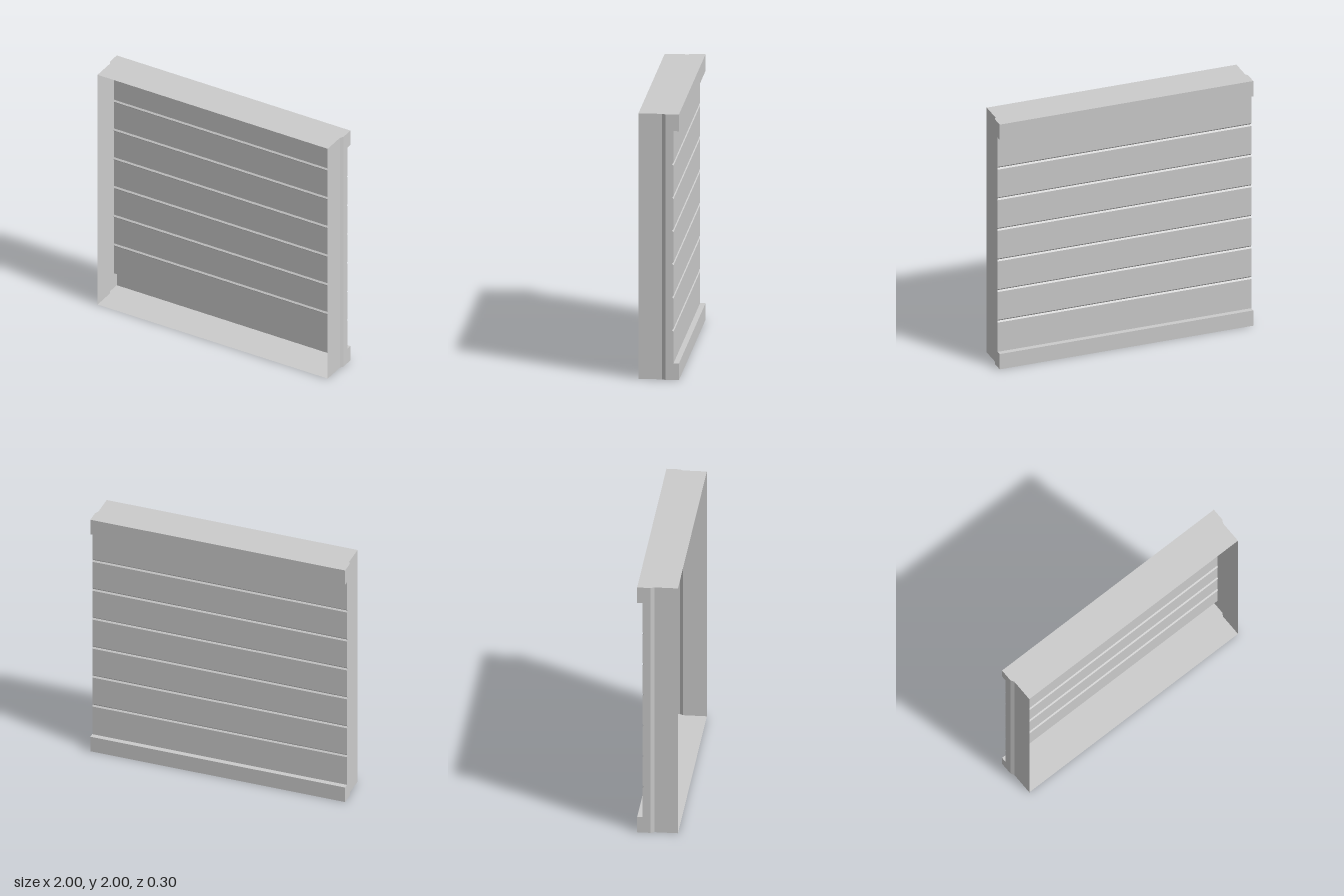
import * as THREE from 'three';

const HALF = 1, INSET = 0.985;            // half width at the back and at the front
const FRONT = 0.15, BACK = -0.15;         // depth range
const PANEL = -0.11;                      // plane of the planks
const BEND_FRONT = -0.025, BEND_BACK = -0.05; // slanted bend in the side walls
const RAIL = 0.125, PLANK = 0.25, TOP = 2;

// Back profile as [z, y], bottom to top: rail, planks with V grooves, rail
function backProfile() {
  const pts = [[BACK, 0], [BACK, RAIL], [PANEL, RAIL]];
  for (let y = RAIL + PLANK; y < TOP - RAIL - 0.01; y += PLANK) {
    pts.push([PANEL, y - 0.0115], [PANEL + 0.01, y], [PANEL, y + 0.0115]);
  }
  pts.push([PANEL, TOP - RAIL], [BACK, TOP - RAIL], [BACK, TOP]);
  return pts;
}

// Sheet made of quads between two matching lines of points
function ribbon(a, b) {
  const pos = [], index = [];
  a.forEach((p, i) => {
    pos.push(...p, ...b[i]);
    if (i) {
      const k = 2 * i;
      index.push(k - 2, k - 1, k, k - 1, k + 1, k);
    }
  });
  const g = new THREE.BufferGeometry();
  g.setAttribute('position', new THREE.Float32BufferAttribute(pos, 3));
  g.setIndex(index);
  const flat = g.toNonIndexed();
  flat.computeVertexNormals();
  return flat;
}

const polygon = (pts) => new THREE.ShapeGeometry(new THREE.Shape(pts.map(([x, y]) => new THREE.Vector2(x, y))));

export function createModel() {
  const group = new THREE.Group();
  const material = new THREE.MeshStandardMaterial({ color: 0xcccccc, flatShading: true, side: THREE.DoubleSide });
  const add = (name, geometry, parent = group) => {
    const mesh = new THREE.Mesh(geometry, material);
    mesh.name = name;
    parent.add(mesh);
    return mesh;
  };
  const profile = backProfile();

  // Grooved planks with the two projecting rails
  add('plankPanel', ribbon(
    profile.map(([z, y]) => [HALF, y, z]),
    profile.map(([z, y]) => [-HALF, y, z])
  ));

  // Side walls: flat front, slanted bend, and a back part cut to the panel profile
  for (const s of [1, -1]) {
    const wall = new THREE.Group();
    wall.name = s > 0 ? 'leftWall' : 'rightWall';
    group.add(wall);
    const bend = [[s * INSET, FRONT], [s * INSET, BEND_FRONT], [s * HALF, BEND_BACK]];
    const line = (y) => bend.map(([x, z]) => [x, y, z]);
    const [lo, hi] = s > 0 ? [0, TOP] : [TOP, 0];
    add('wallFront', ribbon(line(lo), line(hi)), wall);

    // Shape drawn in (-z, y), turned to face sideways
    const outline = [[-BEND_BACK, 0], ...profile.map(([z, y]) => [-z, y]), [-BEND_BACK, TOP]];
    const back = polygon(outline);
    if (s < 0) {
      back.scale(-1, 1, 1);
      const ix = back.index;
      for (let i = 0; i < ix.count; i += 3) {
        const t = ix.getX(i);
        ix.setX(i, ix.getX(i + 1));
        ix.setX(i + 1, t);
      }
    }
    back.rotateY(s * Math.PI / 2);
    back.translate(s * HALF, 0, 0);
    add('wallBack', back, wall);
  }

  // Top and bottom sheets share one plan outline
  const half = [[INSET, FRONT], [INSET, BEND_FRONT], [HALF, BEND_BACK], [HALF, BACK]];
  const plan = [...half, ...half.map(([x, z]) => [-x, z]).reverse()];
  add('topSheet', polygon(plan.map(([x, z]) => [x, -z])).rotateX(-Math.PI / 2).translate(0, TOP, 0));
  add('bottomSheet', polygon(plan).rotateX(Math.PI / 2));

  return group;
}
